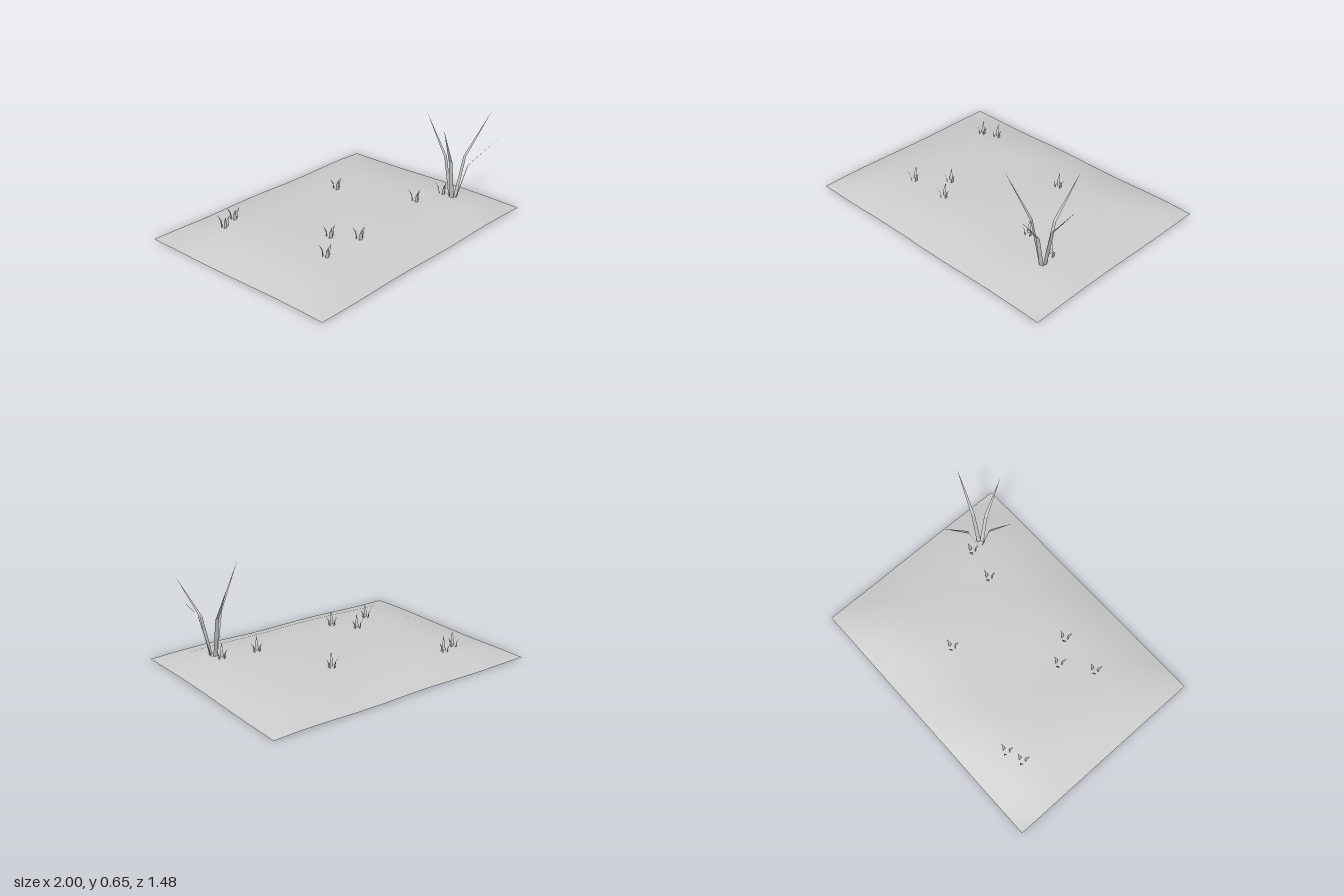
import * as THREE from 'three';

const grey = new THREE.MeshStandardMaterial({ color: 0xcccccc, side: THREE.DoubleSide });
grey.name = 'plain grey';

// Height falls off towards the rim of the patch
const profile = [[0, 0.08], [0.2, 0.73], [0.4, 0.92], [0.6, 0.98], [0.8, 1], [2, 1]];
function falloff(d) {
  for (let i = 1; i < profile.length; i++) {
    const [a, u] = profile[i - 1], [b, v] = profile[i];
    if (d <= b) return u + (v - u) * Math.max(0, d - a) / (b - a);
  }
  return 1;
}
function groundHeight(x, z) {
  const dx = 0.99 - Math.abs(x + 0.01), dz = 0.74 - Math.abs(z);
  const fx = falloff(dx), fz = falloff(dz * 1.06);
  const rim = 0.005 + 0.004 * Math.sin(7 * x + 5 * z);
  return rim + 0.095 * (Math.min(fx, fz) * 0.4 + fx * fz * 0.6 - 0.05);
}

// Gently domed sheet of ground
function makeGround() {
  const geo = new THREE.PlaneGeometry(1.98, 1.48, 10, 8).rotateX(-Math.PI / 2).translate(-0.01, 0, 0);
  const p = geo.attributes.position;
  for (let i = 0; i < p.count; i++) p.setY(i, Math.max(0, groundHeight(p.getX(i), p.getZ(i))));
  geo.computeVertexNormals();
  const mesh = new THREE.Mesh(geo, grey);
  mesh.name = 'ground';
  return mesh;
}

// Flat pointed ribbon: two cross-sections and a tip, wide across its lean
function makeBlade(name, base, mid, tip, baseWidth, midWidth) {
  const b = new THREE.Vector3(...base), m = new THREE.Vector3(...mid), t = new THREE.Vector3(...tip);
  const side = new THREE.Vector3(t.z - b.z, 0, b.x - t.x).normalize();
  const at = (c, w) => c.clone().addScaledVector(side, w / 2);
  const b0 = at(b, -baseWidth), b1 = at(b, baseWidth), m0 = at(m, -midWidth), m1 = at(m, midWidth);
  const geo = new THREE.BufferGeometry().setFromPoints([b0, b1, m1, b0, m1, m0, m0, m1, t]);
  geo.computeVertexNormals();
  const mesh = new THREE.Mesh(geo, grey);
  mesh.name = name;
  return mesh;
}

// Tuft of three blades leaning outwards
function makeTuft(x, z) {
  const tuft = new THREE.Group();
  tuft.name = 'grassTuft';
  const y = groundHeight(x, z);
  [0.07, 0.088, 0.08].forEach((h, i) => {
    const a = i * Math.PI * 2 / 3, c = Math.cos(a), s = Math.sin(a);
    tuft.add(makeBlade('grassBlade',
      [c * 0.018, -0.01, s * 0.018], [c * 0.025, h * 0.5, s * 0.025], [c * 0.048, h, s * 0.048], 0.022, 0.018));
  });
  tuft.position.set(x, y, z);
  return tuft;
}

// Tall sparse shrub of four bent stems: base, bend, tip
function makeShrub() {
  const shrub = new THREE.Group();
  shrub.name = 'shrub';
  const stems = [
    [[0.68, 0.065, 0.392], [0.62, 0.36, 0.41], [0.45, 0.65, 0.465]],
    [[0.715, 0.065, 0.392], [0.785, 0.355, 0.41], [1.0, 0.635, 0.465]],
    [[0.698, 0.065, 0.365], [0.708, 0.345, 0.305], [0.735, 0.615, 0.115]],
    [[0.705, 0.065, 0.408], [0.73, 0.32, 0.475], [0.795, 0.555, 0.67]],
  ];
  stems.forEach(s => shrub.add(makeBlade('shrubStem', ...s, 0.03, 0.024)));
  return shrub;
}

export function createModel() {
  const model = new THREE.Group();
  model.name = 'grassyGround';
  model.add(makeGround(), makeShrub());
  const tufts = [[-0.662, -0.435], [-0.547, -0.472], [0.23, -0.272], [-0.337, 0.187],
    [-0.532, 0.337], [-0.23, 0.342], [0.45, 0.253], [0.685, 0.305]];
  tufts.forEach(([x, z]) => model.add(makeTuft(x, z)));
  return model;
}
